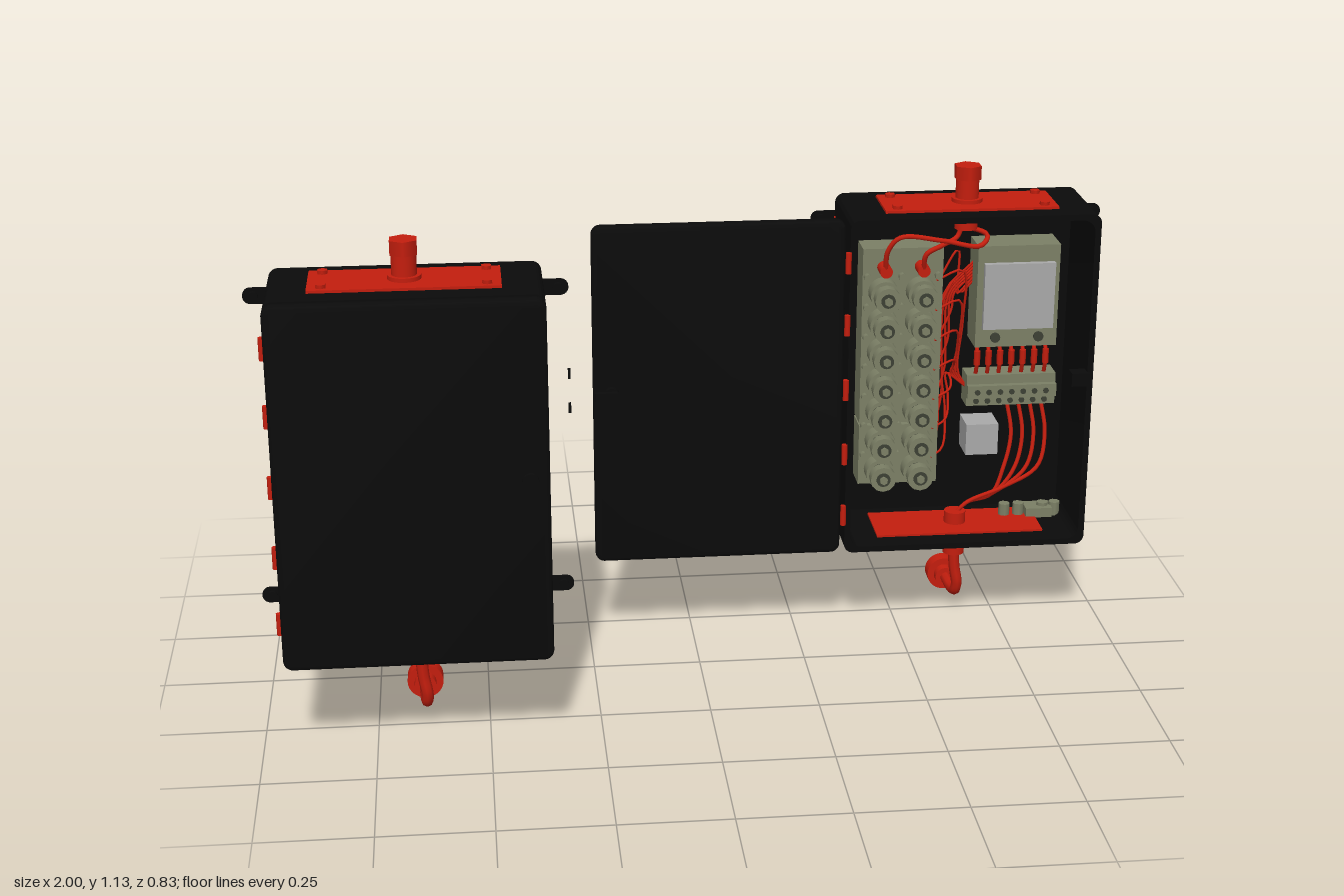
import * as THREE from 'three';
import { toCreasedNormals } from 'three/addons/utils/BufferGeometryUtils.js';

const mat = (color) => new THREE.MeshStandardMaterial({ color });
const BLACK = mat(0x0b0b0b), RED = mat(0xc41e0e), OLIVE = mat(0x7c8066), GREY = mat(0xaaaaaa), DARK = mat(0x3c4034);

// Box measurements: x centred, back at z = 0
const HALF = 0.292, BOTTOM = 0.222, TOP = 1.045, DEPTH = 0.242, MID_Z = 0.118;

function add(parent, name, geometry, material, x = 0, y = 0, z = 0) {
  const mesh = new THREE.Mesh(geometry, material);
  mesh.name = name;
  mesh.position.set(x, y, z);
  parent.add(mesh);
  return mesh;
}

function box(parent, name, material, [x0, x1], [y0, y1], [z0, z1]) {
  return add(parent, name, new THREE.BoxGeometry(x1 - x0, y1 - y0, z1 - z0), material,
    (x0 + x1) / 2, (y0 + y1) / 2, (z0 + z1) / 2);
}

// Cylinder standing along y, from y0 to y1
function post(parent, name, material, r, y0, y1, x, z, sides = 24) {
  return add(parent, name, new THREE.CylinderGeometry(r, r, y1 - y0, sides), material, x, (y0 + y1) / 2, z);
}

// Cylinder lying along z, from z0 to z1
function peg(parent, name, material, r, z0, z1, x, y, sides = 20) {
  const geometry = new THREE.CylinderGeometry(r, r, z1 - z0, sides).rotateX(Math.PI / 2);
  return add(parent, name, geometry, material, x, y, (z0 + z1) / 2);
}

function tube(parent, name, material, r, points, segments = 24) {
  const curve = new THREE.CatmullRomCurve3(points.map((p) => new THREE.Vector3(...p)));
  return add(parent, name, new THREE.TubeGeometry(curve, segments, r, 8), material);
}

function roundedRect(path, x0, y0, x1, y1, r) {
  path.absarc(x1 - r, y0 + r, r, -Math.PI / 2, 0);
  path.absarc(x1 - r, y1 - r, r, 0, Math.PI / 2);
  path.absarc(x0 + r, y1 - r, r, Math.PI / 2, Math.PI);
  path.absarc(x0 + r, y0 + r, r, Math.PI, Math.PI * 1.5);
  path.closePath();
  return path;
}

function extrude(shape, depth, bevel = 0) {
  const geometry = new THREE.ExtrudeGeometry(shape, {
    depth: depth - 2 * bevel, curveSegments: 8, bevelEnabled: bevel > 0,
    bevelSize: bevel, bevelThickness: bevel, bevelOffset: -bevel, bevelSegments: 4,
  });
  return toCreasedNormals(geometry.translate(0, 0, bevel), 0.6);
}

// Hollow body with back wall and wall-mounting ears
function addBody(unit) {
  const wall = 0.014;
  const outline = roundedRect(new THREE.Shape(), -HALF, BOTTOM, HALF, TOP, 0.022);
  const backWall = outline.clone();
  outline.holes.push(roundedRect(new THREE.Path(), -HALF + wall, BOTTOM + wall, HALF - wall, TOP - wall, 0.03));
  add(unit, 'bodyShell', extrude(outline, DEPTH - 0.01), BLACK, 0, 0, 0.01);
  add(unit, 'backWall', extrude(backWall, 0.01), BLACK);
  for (const y of [0.282, 0.985]) for (const side of [-1, 1]) {
    const ear = roundedRect(new THREE.Shape(), -0.06, -0.018, 0.06, 0.018, 0.0175);
    add(unit, 'mountingEar', extrude(ear, 0.006), BLACK, side * 0.29, y, -0.003);
    peg(unit, 'earBolt', BLACK, 0.011, 0.002, 0.011, side * 0.327, y);
    const rivet = peg(unit, 'sideRivet', RED, 0.006, -0.003, 0.003, side * HALF, y, 12);
    rivet.rotation.y = Math.PI / 2;
    rivet.position.z = 0.007;
  }
}

// Red entry plates, glands and the bent outlet pipe
function addEntries(unit) {
  for (const [y0, y1, head] of [[1.026, 1.051, 1.056], [0.216, 0.241, 0.212]]) {
    box(unit, 'entryPlate', RED, [-0.203, 0.203], [y0, y1], [0.046, 0.19]);
    for (const x of [-0.173, 0.173]) for (const z of [0.067, 0.169])
      post(unit, 'plateBolt', RED, 0.012, head - 0.007, head + 0.003, x, z, 6);
  }
  post(unit, 'topGland', RED, 0.027, 0.985, 1.11, 0, MID_Z);
  post(unit, 'topGlandCollar', RED, 0.036, 1.045, 1.06, 0, MID_Z);
  post(unit, 'topGlandNut', RED, 0.033, 1.105, 1.137, 0, MID_Z, 6);
  post(unit, 'bottomGlandCollar', RED, 0.034, 0.207, 0.222, 0, MID_Z);
  post(unit, 'bottomGland', RED, 0.026, 0.16, 0.27, 0, MID_Z);
  tube(unit, 'outletPipe', RED, 0.0135, [[0, 0.17, MID_Z], [0.004, 0.12, MID_Z], [0.011, 0.078, MID_Z],
    [0.01, 0.053, 0.107], [0.008, 0.045, 0.08], [0.006, 0.044, 0.04], [0.005, 0.044, 0]], 40);
  peg(unit, 'pipeSocket', RED, 0.025, -0.01, 0.014, 0.005, 0.044);
  peg(unit, 'pipeFlange', RED, 0.041, -0.044, -0.009, 0.005, 0.044, 28);
  peg(unit, 'pipeNozzle', RED, 0.016, -0.063, -0.04, 0.005, 0.044);
}

// Lid with lock, hung on the hinge line; angle opens it
function addDoor(unit, angle) {
  const door = new THREE.Group();
  door.name = 'door';
  door.position.set(-HALF - 0.005, 0, DEPTH);
  door.rotation.y = angle;
  unit.add(door);
  const panel = roundedRect(new THREE.Shape(), 0.005, BOTTOM, 2 * HALF + 0.005, TOP, 0.022);
  const slab = extrude(panel, 0.036, 0.011);
  add(door, 'doorPanel', slab, BLACK, 0, 0, 0.001);
  peg(door, 'lockBarrel', BLACK, 0.018, -0.012, 0.046, 0.547, 0.645);
  box(door, 'lockCam', BLACK, [0.535, 0.585], [0.634, 0.656], [-0.024, -0.012]);
  for (const y of [0.945, 0.795, 0.636, 0.475, 0.32])
    post(unit, 'hingeKnuckle', RED, 0.007, y - 0.025, y + 0.025, -HALF - 0.004, DEPTH, 12);
}

// Valve bank: two columns of stacked round valves
function addValveBank(unit) {
  const bank = new THREE.Group();
  bank.name = 'valveBank';
  unit.add(bank);
  box(bank, 'lowerBase', OLIVE, [-0.236, -0.043], [0.335, 0.486], [0.01, 0.085]);
  box(bank, 'upperBase', OLIVE, [-0.236, -0.043], [0.492, 0.93], [0.01, 0.085]);
  for (let row = 0; row < 7; row++) {
    const y = 0.375 + row * 0.075;
    for (const x of [-0.187, -0.097]) {
      peg(bank, 'valveBody', OLIVE, 0.035, 0.08, 0.125, x, y);
      peg(bank, 'valveNeck', DARK, 0.026, 0.12, 0.14, x, y);
      peg(bank, 'valveCap', OLIVE, 0.031, 0.137, 0.165, x, y, 12);
      peg(bank, 'valveStem', DARK, 0.017, 0.16, 0.168, x, y);
      peg(bank, 'valveScrew', OLIVE, 0.01, 0.165, 0.175, x, y, 6);
    }
    for (const x of [-0.225, -0.142, -0.055]) peg(bank, 'baseScrew', OLIVE, 0.009, 0.08, 0.1, x, y + 0.037, 8);
  }
  for (const x of [-0.187, -0.097]) peg(bank, 'hosePort', RED, 0.015, 0.08, 0.13, x, 0.885);
}

// Controller, terminals and small fittings
function addElectronics(unit) {
  box(unit, 'controller', OLIVE, [0.037, 0.235], [0.682, 0.933], [0.01, 0.1]);
  box(unit, 'controllerScreen', GREY, [0.052, 0.222], [0.73, 0.892], [0.1, 0.115]);
  for (const x of [0.085, 0.19]) peg(unit, 'controllerScrew', DARK, 0.012, 0.095, 0.106, x, 0.706);
  box(unit, 'terminalStrip', OLIVE, [0.028, 0.246], [0.522, 0.6], [0.01, 0.07]);
  box(unit, 'terminalRidge', OLIVE, [0.028, 0.246], [0.545, 0.577], [0.07, 0.085]);
  box(unit, 'relay', GREY, [0.027, 0.106], [0.402, 0.48], [0.01, 0.09]);
  for (let i = 0; i < 7; i++) {
    const x = 0.052 + i * 0.028;
    peg(unit, 'terminalScrew', DARK, 0.007, 0.065, 0.074, x, 0.534, 8);
    peg(unit, 'terminalContact', DARK, 0.007, 0.08, 0.088, x, 0.561, 8);
    tube(unit, 'jumperWire', RED, 0.005, [[x, 0.69, 0.04], [x, 0.645, 0.065], [x, 0.59, 0.05]], 10);
    post(unit, 'wireSleeve', RED, 0.008, 0.625, 0.66, x, 0.063, 8);
  }
  // Drain fitting near the lower right corner
  box(unit, 'drainBase', OLIVE, [0.18, 0.245], [0.238, 0.262], [0.06, 0.11]);
  for (const x of [0.13, 0.165, 0.225, 0.255]) post(unit, 'drainFitting', OLIVE, 0.014, 0.236, 0.27, x, 0.085, 8);
  box(unit, 'lockCatch', BLACK, [0.24, 0.282], [0.628, 0.66], [0.215, 0.25]);
}

function addWiring(unit) {
  // Supply hoses from the top gland to the valve bank
  tube(unit, 'supplyHose', RED, 0.006, [[0, 0.99, MID_Z], [0.05, 0.97, 0.13], [0.03, 0.95, 0.15],
    [-0.06, 0.965, 0.15], [-0.16, 0.975, 0.15], [-0.187, 0.94, 0.14], [-0.187, 0.88, 0.12]], 40);
  tube(unit, 'supplyHose', RED, 0.006, [[-0.01, 0.99, MID_Z], [-0.02, 0.965, 0.12], [-0.06, 0.95, 0.14],
    [-0.095, 0.93, 0.14], [-0.097, 0.88, 0.12]], 30);
  // Valve leads looping down beside the bank
  for (let i = 0; i < 7; i++) {
    const y = 0.4 + i * 0.075, x = -0.03 + i * 0.006;
    tube(unit, 'valveLead', RED, 0.003, [[-0.06, y, 0.09], [x, y + 0.02, 0.08], [x + 0.01, (y + 0.62) / 2, 0.05],
      [x + 0.005, 0.6, 0.04], [0.035, 0.56, 0.04]], 20);
    tube(unit, 'controllerLead', RED, 0.003, [[-0.05, y - 0.02, 0.05], [x - 0.005, y + 0.06, 0.04],
      [x, 0.8, 0.04], [0.04, 0.88 - i * 0.008, 0.04]], 20);
  }
  // Mains cables from the terminals to the bottom gland
  for (let i = 0; i < 4; i++) {
    const x = 0.13 + i * 0.028;
    tube(unit, 'mainsCable', RED, 0.005, [[x, 0.53, 0.06], [x + 0.01, 0.45, 0.08], [x - 0.01, 0.37, 0.1],
      [0.09 + i * 0.01, 0.305 + i * 0.006, 0.11], [0.03, 0.29, 0.118], [0, 0.26, MID_Z]], 28);
  }
}

function makeUnit(name, x, z, doorAngle) {
  const unit = new THREE.Group();
  unit.name = name;
  unit.position.set(x, 0, z);
  addBody(unit);
  addEntries(unit);
  addDoor(unit, doorAngle);
  return unit;
}

export function createModel() {
  const model = new THREE.Group();
  model.name = 'controlCabinets';
  const closed = makeUnit('closedCabinet', -0.65, 0.13, 0);
  const open = makeUnit('openCabinet', 0.65, -0.352, -Math.PI);
  addValveBank(open);
  addElectronics(open);
  addWiring(open);
  model.add(closed, open);
  // Two loose pins beside the closed cabinet
  for (const y of [0.778, 0.698]) box(model, 'loosePin', BLACK, [-0.304, -0.298], [y - 0.012, y + 0.012], [0.111, 0.115]);
  return model;
}
